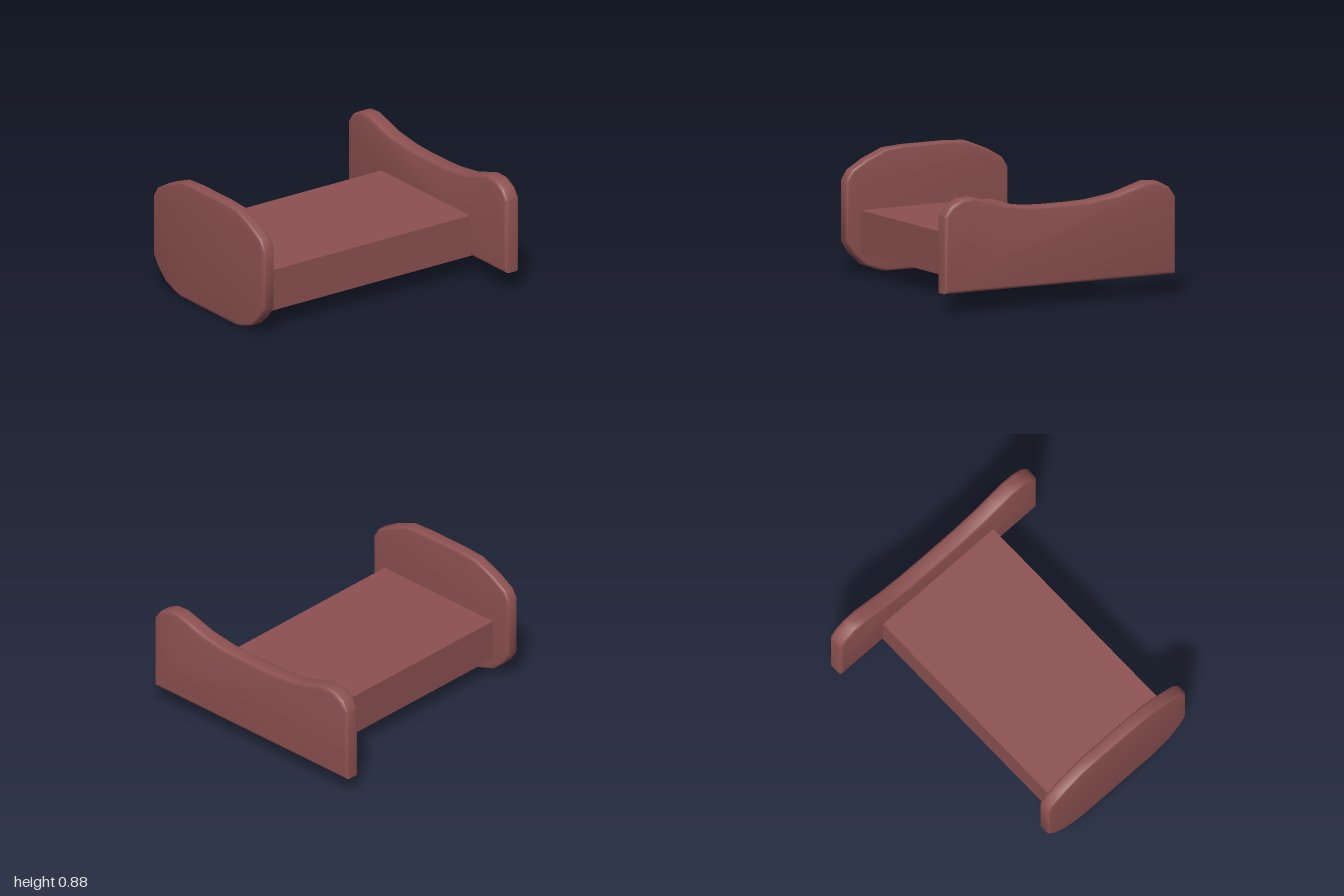
import * as THREE from 'three';
import { toCreasedNormals } from 'three/addons/utils/BufferGeometryUtils.js';

const material = new THREE.MeshStandardMaterial({ color: 0x8c5050 });

// Board with a mirrored outline (right half given from bottom to top) and rounded edges.
function board(name, half, centerX, zBack, zFront, bevel) {
  const left = half.map(([x, y]) => [-x, y]).reverse();
  const outline = [...half, ...left].map(([x, y]) => new THREE.Vector2(x, y));
  const geometry = new THREE.ExtrudeGeometry(new THREE.Shape(outline), {
    depth: zFront - zBack - 2 * bevel,
    bevelThickness: bevel,
    bevelSize: bevel,
    bevelOffset: -bevel,
    bevelSegments: 3,
  });
  const mesh = new THREE.Mesh(toCreasedNormals(geometry, 0.65), material);
  mesh.name = name;
  mesh.position.set(centerX, 0, zBack + bevel);
  return mesh;
}

export function createModel() {
  const bed = new THREE.Group();
  bed.name = 'bed';

  // Tall headboard with rounded shoulders and a dipped top
  bed.add(board('headboard', [
    [0.935, 0.145], [0.935, 0.695], [0.885, 0.765], [0.8, 0.81], [0.7, 0.815],
    [0.57, 0.777], [0.46, 0.745], [0.25, 0.717], [0.1, 0.712],
  ], 0, -1, -0.88, 0.025));

  // Rounded footboard, slightly off centre
  bed.add(board('footboard', [
    [0.33, 0], [0.39, 0.014], [0.505, 0.055], [0.6, 0.14], [0.655, 0.225],
    [0.655, 0.665], [0.61, 0.735], [0.49, 0.805], [0.33, 0.87], [0.17, 0.88],
  ], -0.03, 0.905, 1, 0.018));

  // Mattress block running between the boards
  const mattress = new THREE.Mesh(new THREE.BoxGeometry(1.05, 0.305, 1.83), material);
  mattress.name = 'mattress';
  mattress.position.set(-0.01, 0.2975, 0.01);
  bed.add(mattress);

  return bed;
}
